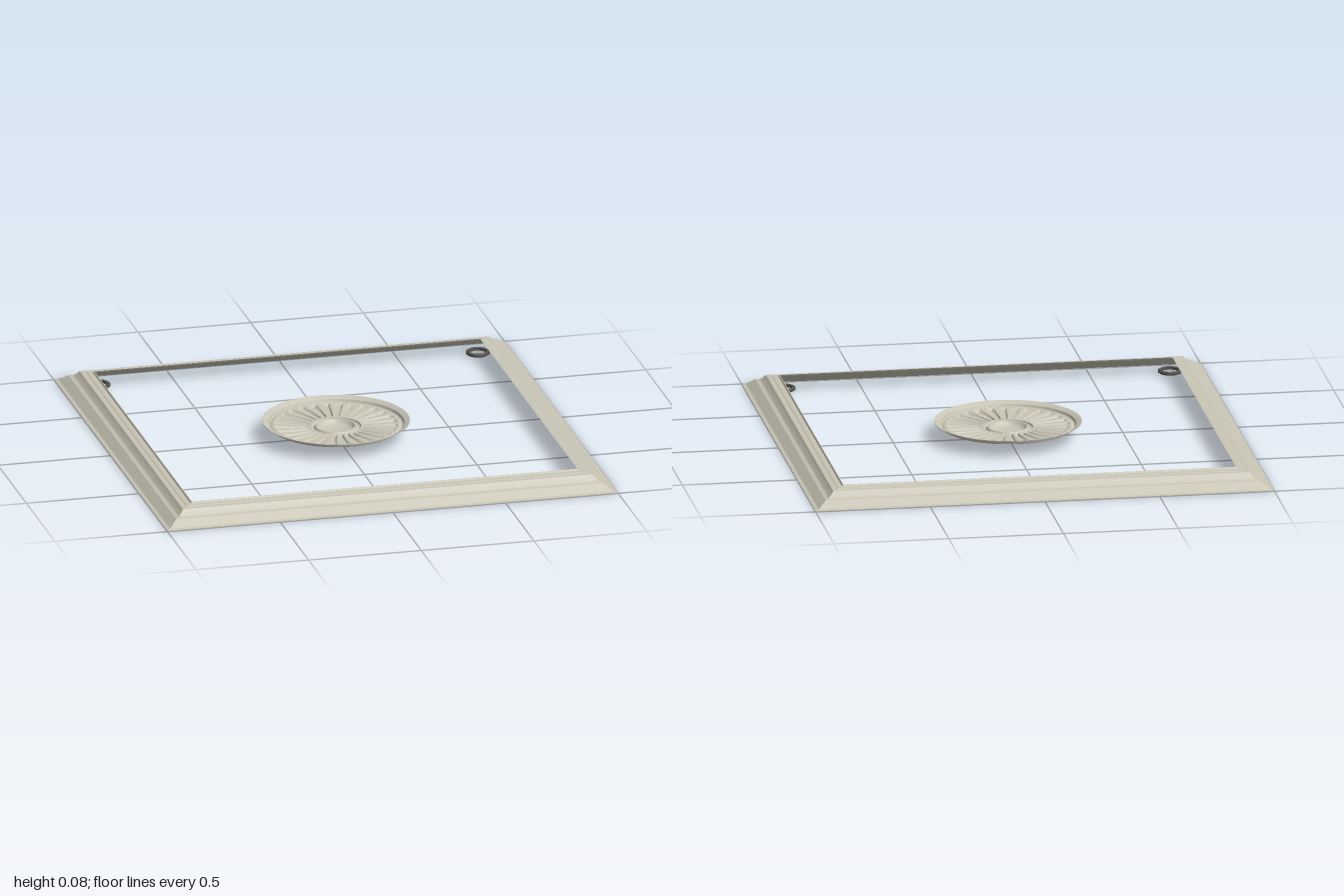
import * as THREE from 'three';
import { toCreasedNormals } from 'three/addons/utils/BufferGeometryUtils.js';

function material(name, color) {
  const result = new THREE.MeshStandardMaterial({ color, side: THREE.DoubleSide });
  result.name = name;
  return result;
}
const plaster = material('pale stone plaster', 0xc8c5b6);
const darkMetal = material('dark grey metal', 0x55534c);

const points = (list) => list.map(([r, y]) => new THREE.Vector2(r, y));

function addMesh(parent, name, geometry, surface = plaster) {
  const mesh = new THREE.Mesh(geometry, surface);
  mesh.name = name;
  parent.add(mesh);
  return mesh;
}

function lathe(profile, sides, crease = 0.4) {
  return toCreasedNormals(new THREE.LatheGeometry(points(profile), sides), crease);
}

// Ring of radial grooves with flat lands between them, closed at both ends
function fluteRing(inner, outer, yInner, yOuter, count, depth) {
  const radial = [0, 0.04, 0.1, 0.9, 0.97, 1];
  const fades = [0, 0, 1, 1, 0, 0];
  const across = [[0, 0], [0.36, 0], [0.52, 1], [0.84, 1]];
  const columns = count * across.length;
  const position = [], index = [];
  radial.forEach((t, i) => {
    const r = inner + (outer - inner) * t;
    for (let j = 0; j <= columns; j++) {
      const [offset, scoop] = across[j % across.length];
      const a = ((Math.floor(j / across.length) + offset) / count) * Math.PI * 2;
      const y = yInner + (yOuter - yInner) * t - depth * fades[i] * scoop;
      position.push(r * Math.sin(a), y, r * Math.cos(a));
      if (i < radial.length - 1 && j < columns) {
        const p = i * (columns + 1) + j, q = p + columns + 1;
        index.push(p, q, p + 1, q, q + 1, p + 1);
      }
    }
  });
  const geometry = new THREE.BufferGeometry();
  geometry.setAttribute('position', new THREE.Float32BufferAttribute(position, 3));
  geometry.setIndex(index);
  return toCreasedNormals(geometry, 0.3);
}

export function createModel() {
  const model = new THREE.Group();
  model.name = 'ceilingPanel';

  // Mitred square moulding, a thin shell stepping up toward the opening
  const moulding = [
    [1, 0], [1, 0.003], [0.984, 0.006], [0.966, 0.02], [0.948, 0.034],
    [0.932, 0.038], [0.926, 0.043], [0.917, 0.052], [0.908, 0.063], [0.888, 0.064],
    [0.882, 0.067], [0.862, 0.068], [0.858, 0.075], [0.855, 0.075],
  ].map(([r, y]) => [r * Math.SQRT2, y]);
  const frame = new THREE.LatheGeometry(points(moulding), 4).rotateY(Math.PI / 4).toNonIndexed();
  frame.computeVertexNormals();
  addMesh(model, 'mouldedFrame', frame);

  // Round medallion hanging down from its rim
  const medallion = new THREE.Group();
  medallion.name = 'medallion';
  model.add(medallion);
  addMesh(medallion, 'medallionRim', lathe([
    [0.318, 0.074], [0.318, 0.077], [0.304, 0.072], [0.294, 0.066],
    [0.29, 0.056], [0.285, 0.053], [0.28, 0.056], [0.272, 0.058],
  ], 64));
  addMesh(medallion, 'flutes', fluteRing(0.108, 0.272, 0.05, 0.058, 28, 0.008));
  addMesh(medallion, 'centreCollar', lathe([
    [0.108, 0.05], [0.106, 0.044], [0.1, 0.04], [0.094, 0.042], [0.089, 0.05], [0.082, 0.051],
  ], 48));
  addMesh(medallion, 'centreBoss', lathe([
    [0.082, 0.051], [0.076, 0.041], [0.068, 0.034], [0.058, 0.03], [0.03, 0.027], [0, 0.026],
  ], 48, 0.6));

  // Small open trim rings in the corners
  const ring = lathe([
    [0.036, 0.014], [0.046, 0.011], [0.052, 0.015], [0.052, 0.023],
    [0.046, 0.027], [0.036, 0.025], [0.036, 0.014],
  ], 32);
  for (const x of [-1, 1]) {
    for (const z of [-1, 1]) {
      const name = (z > 0 ? 'front' : 'back') + (x > 0 ? 'Left' : 'Right') + 'Ring';
      addMesh(model, name, ring, darkMetal).position.set(x * 0.842, 0, z * 0.842);
    }
  }
  return model;
}
